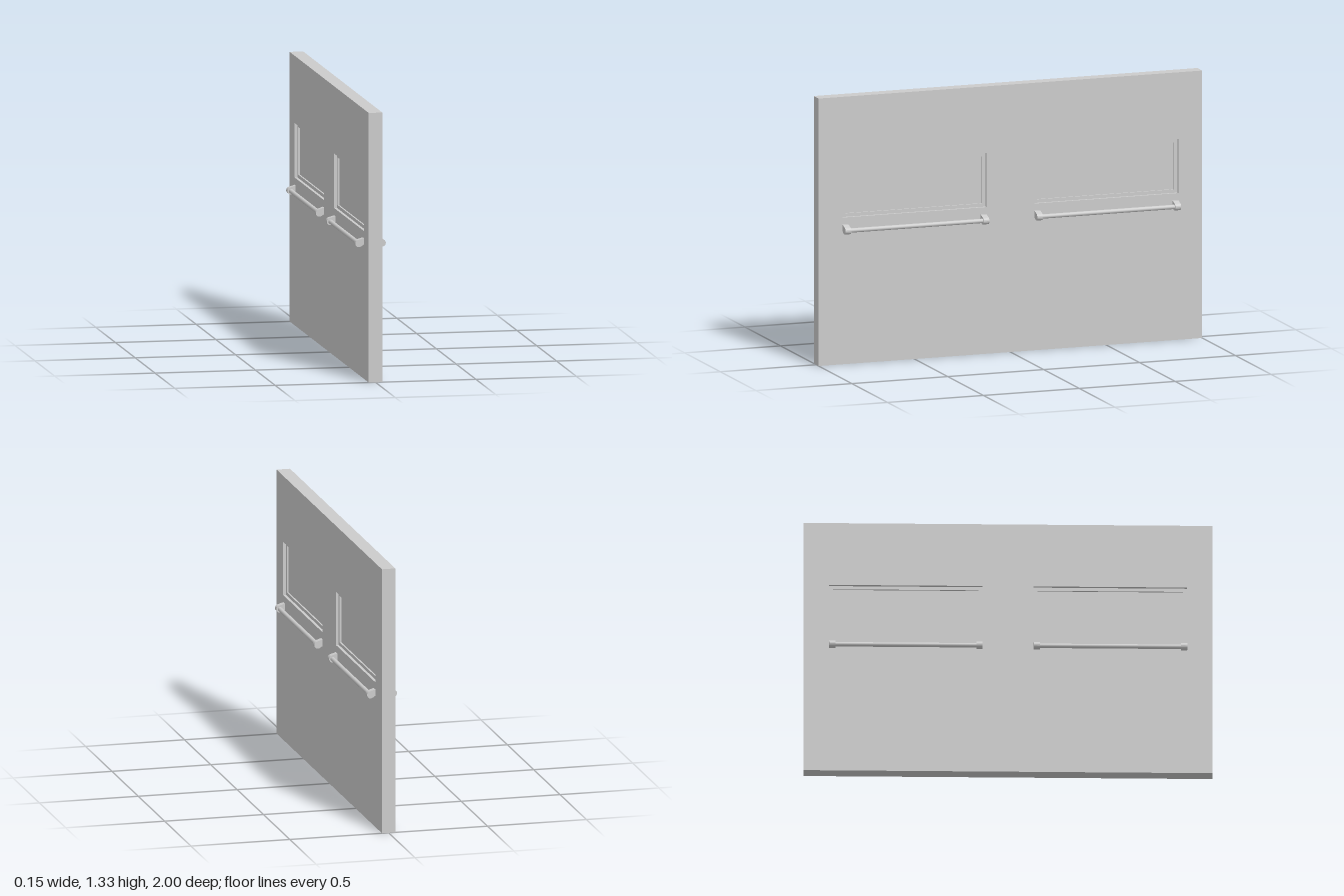
import * as THREE from 'three';

const material = new THREE.MeshStandardMaterial({ color: 0xcccccc });
const HEIGHT = 1.333, HALF = 0.034;

function mesh(name, geometry) {
  const m = new THREE.Mesh(geometry, material);
  m.name = name;
  return m;
}

// Rectangle outline in the (z, y) plane
function rect(Type, z0, z1, y0, y1) {
  return new Type([[z0, y0], [z1, y0], [z1, y1], [z0, y1]].map(p => new THREE.Vector2(...p)));
}

// Extrude a (z, y) shape along x, centred on x = 0
function slab(shape, half) {
  return new THREE.ExtrudeGeometry(shape, { depth: half * 2, bevelEnabled: false })
    .translate(0, 0, -half).rotateY(-Math.PI / 2);
}

// Push bar on the +x face, spanning z 0.125 to 0.875
function pushBar() {
  const bar = new THREE.Group();
  bar.name = 'pushBar';
  const cx = 0.058, cy = 0.669, r = 0.018;

  // Bracket arm sloping down to a rounded end
  const arm = new THREE.Shape();
  arm.moveTo(HALF - 0.002, 0.664);
  arm.lineTo(cx - 0.011, cy - 0.0145);
  arm.absarc(cx, cy, r, -2.2, 1.25, false);
  arm.lineTo(HALF - 0.002, 0.696);
  arm.closePath();
  for (const z of [0.125, 0.845]) {
    const geometry = new THREE.ExtrudeGeometry(arm, { depth: 0.03, bevelEnabled: false, curveSegments: 10 });
    bar.add(mesh('bracket', geometry.translate(0, 0, z)));
  }

  const rod = new THREE.CylinderGeometry(0.011, 0.011, 0.7, 16).rotateX(Math.PI / 2);
  rod.translate(cx, cy, 0.5);
  bar.add(mesh('rod', rod));
  return bar;
}

export function createModel() {
  const model = new THREE.Group();
  model.name = 'doubleDoor';

  // Door slab with two window openings
  const door = rect(THREE.Shape, -1, 1, 0, HEIGHT);
  for (const c of [-0.5, 0.5]) {
    door.holes.push(rect(THREE.Path, c - 0.375, c + 0.375, 0.731, 1));
  }
  model.add(mesh('doorSlab', slab(door, HALF)));

  for (const c of [-0.5, 0.5]) {
    // Recessed window frame and the pane set deeper inside it
    const frame = rect(THREE.Shape, c - 0.375, c + 0.375, 0.731, 1);
    frame.holes.push(rect(THREE.Path, c - 0.355, c + 0.355, 0.748, 0.983));
    model.add(mesh('windowFrame', slab(frame, 0.02)));
    model.add(mesh('windowPane', slab(rect(THREE.Shape, c - 0.355, c + 0.355, 0.748, 0.983), 0.012)));
  }

  // Two push bars on each face
  for (const turn of [0, Math.PI]) {
    const side = new THREE.Group();
    side.name = turn ? 'rightSideBars' : 'leftSideBars';
    for (const z of [0, -1]) {
      const bar = pushBar();
      bar.position.z = z;
      side.add(bar);
    }
    side.rotation.y = turn;
    model.add(side);
  }
  return model;
}
